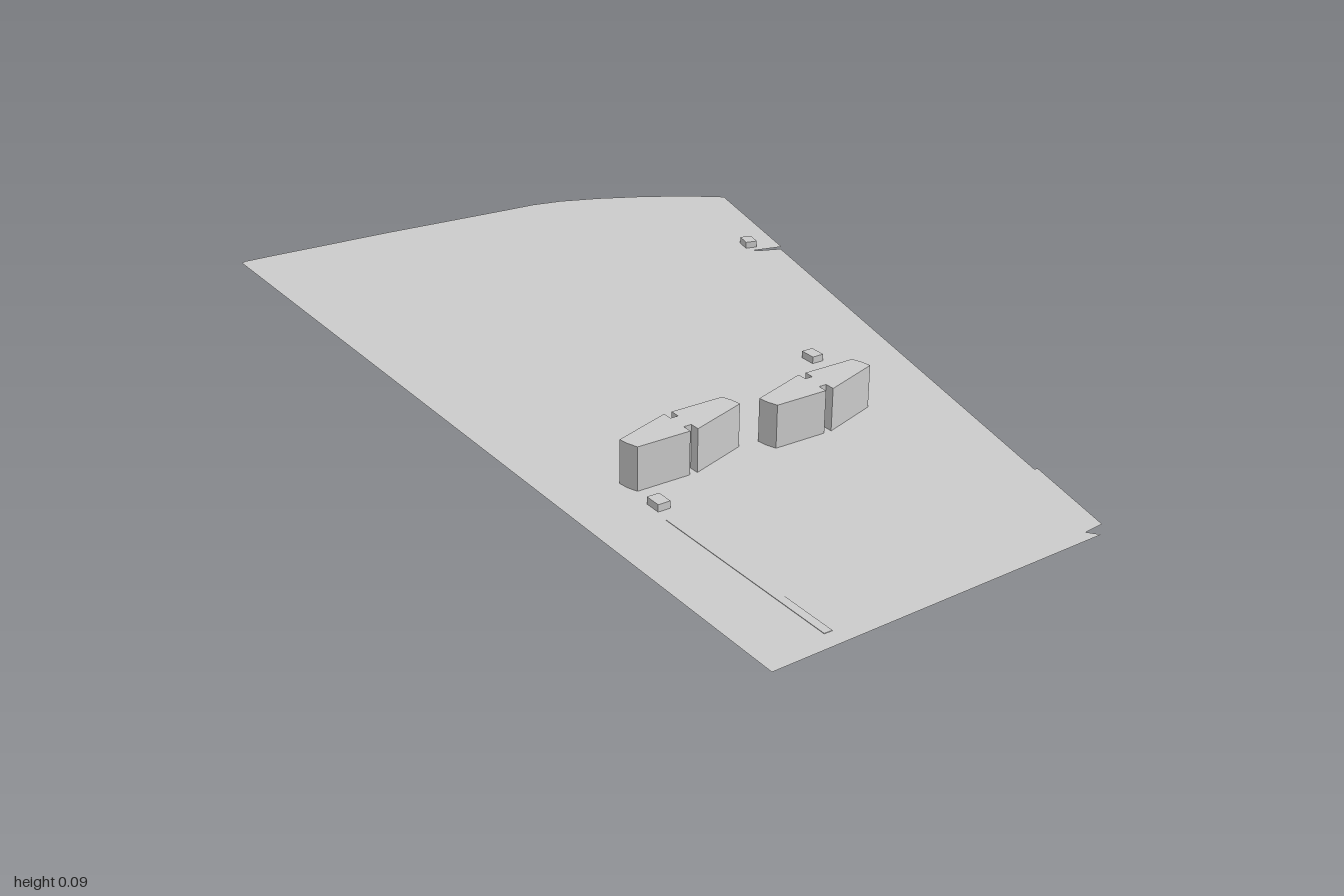
import * as THREE from 'three';

const material = new THREE.MeshStandardMaterial({ color: 0xcccccc, flatShading: true, side: THREE.DoubleSide });
const TILT = THREE.MathUtils.degToRad(14);
const SHEET_Y = 0.01;

// Shape drawn in plan, shape y becoming model z
const planShape = (points) => new THREE.Shape(points.map(([x, z]) => new THREE.Vector2(x, z)));

function addMesh(group, name, geometry, x = 0, y = 0, z = 0, turn = 0) {
  const mesh = new THREE.Mesh(geometry, material);
  mesh.name = name;
  mesh.position.set(x, y, z);
  mesh.rotation.y = turn;
  group.add(mesh);
  return mesh;
}

export function createModel() {
  const group = new THREE.Group();
  group.name = 'panel';

  // Thin tapered sheet with a curved rear edge and small edge notches
  const sheet = new THREE.ShapeGeometry(planShape([
    [-0.12, 0.995], [-0.573, -0.86], [-0.565, -0.867], [-0.52, -0.877], [-0.23, -0.935],
    [0.06, -0.985], [0.13, -0.998], [0.2, -1], [0.29, -0.988], [0.38, -0.968],
    [0.47, -0.942], [0.53, -0.918], [0.57, -0.9], [0.57, -0.56], [0.505, -0.56],
    [0.515, -0.555], [0.563, -0.548], [0.563, 0.56], [0.57, 0.56], [0.57, 0.77],
    [0.53, 0.785], [0.55, 0.8],
  ])).rotateX(Math.PI / 2);
  addMesh(group, 'sheet', sheet, 0, SHEET_Y, 0);

  // Tall blocks with bowed ends and a vertical groove in each long side
  const quarter = [[0.008, 0.04], [0.008, 0.02], [-0.008, 0.02], [-0.008, 0.04]];
  const half = [...quarter, [-0.117, 0.04], [-0.124, 0.02], [-0.127, 0]];
  const outline = [...half, ...half.map(([x, z]) => [-x, -z])];
  const block = new THREE.ExtrudeGeometry(planShape(outline), { depth: 0.095, bevelEnabled: false });
  block.rotateX(Math.PI / 2).translate(0, 0.095, 0);
  addMesh(group, 'leftBlock', block, 0.274, 0, 0.27, TILT);
  addMesh(group, 'rightBlock', block, -0.013, 0, 0.34, TILT);

  // Small mounting lugs
  const lug = new THREE.BoxGeometry(0.025, 0.014, 0.034);
  for (const [name, x, z, turn] of [
    ['rearLug', 0.505, -0.594, 0],
    ['middleLug', 0.388, 0.01, TILT],
    ['frontLug', -0.101, 0.468, TILT],
  ]) addMesh(group, name, lug, x, 0.017, z, turn);

  // Narrow rib running along the slanted side
  const rib = new THREE.BoxGeometry(0.016, 0.007, 0.42);
  addMesh(group, 'rib', rib, -0.048, 0.0075, 0.72, TILT);

  return group;
}
